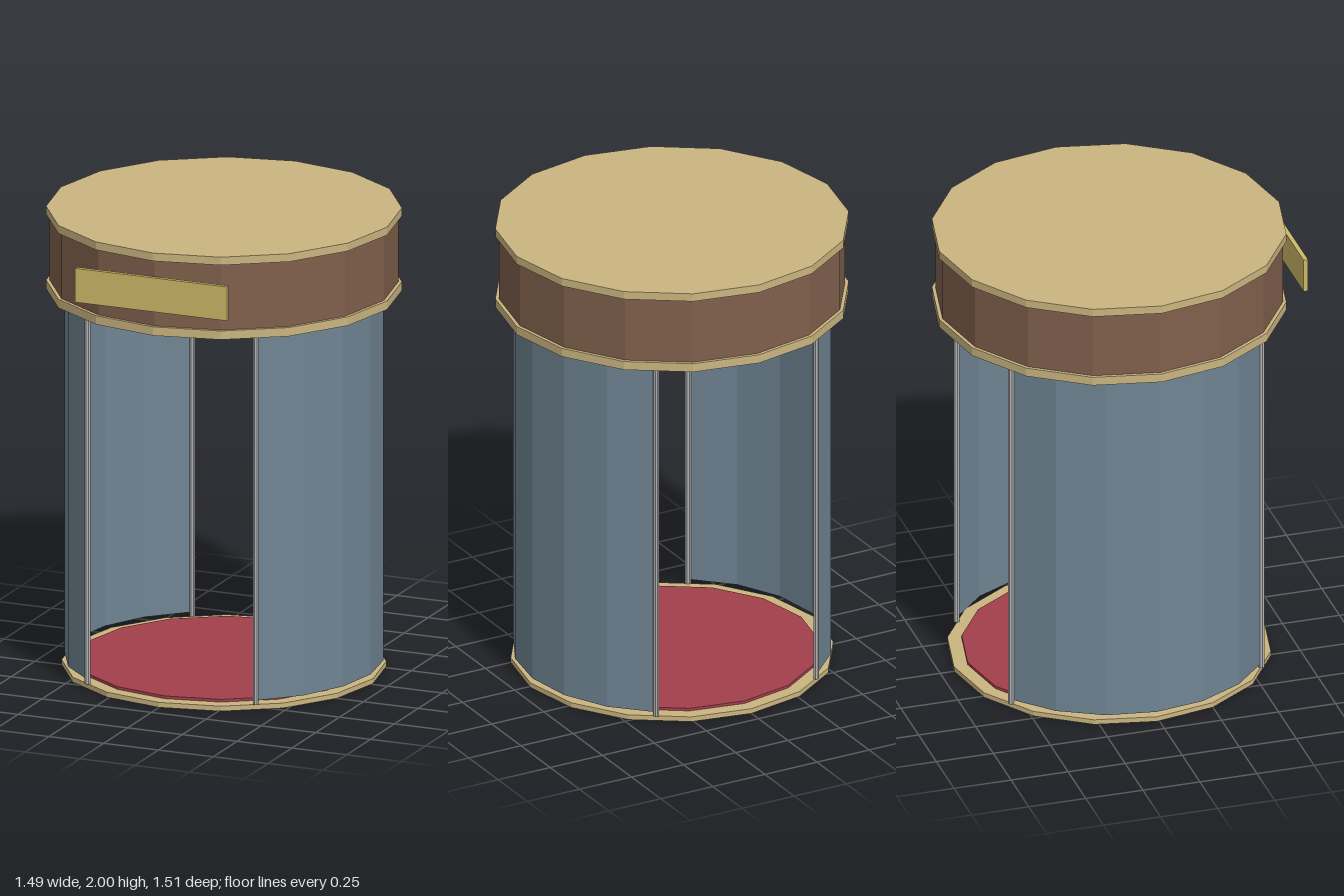
import * as THREE from 'three';

const flat = (name, color, extra = {}) => {
  const m = new THREE.MeshStandardMaterial({ color, flatShading: true, ...extra });
  m.name = name;
  return m;
};

export function createModel() {
  const brass = flat('brass trim', 0xcbb580);
  const gold = flat('gold sign', 0xcdb969);
  const wood = flat('brown wood', 0x80604c);
  const glass = flat('blue grey wall', 0x6f8593, { side: THREE.DoubleSide });
  const carpet = flat('red carpet', 0xa23f4c);
  const steel = flat('steel', 0xb2b2b4);

  const group = new THREE.Group();
  group.name = 'revolvingEntrance';
  const drum = new THREE.Group();
  drum.name = 'drum';
  drum.position.z = -0.01;
  group.add(drum);

  const add = (parent, name, geometry, material, x, y, z) => {
    const mesh = new THREE.Mesh(geometry, material);
    mesh.name = name;
    mesh.position.set(x, y, z);
    parent.add(mesh);
  };

  // Stacked discs: base, carpet, canopy and its two trim rings
  const disc = (name, radius, y0, y1, material) =>
    add(drum, name, new THREE.CylinderGeometry(radius, radius, y1 - y0, 16), material, 0, (y0 + y1) / 2, 0);
  disc('basePlate', 0.68, 0, 0.022, brass);
  disc('carpetFloor', 0.62, 0.015, 0.034, carpet);
  disc('canopyBottomTrim', 0.745, 1.64, 1.678, brass);
  disc('canopyBand', 0.73, 1.67, 1.975, wood);
  disc('canopyTopTrim', 0.745, 1.965, 2, brass);

  // Curved side walls, leaving a doorway at front and back, with a post on each edge
  const R = 0.67, half = THREE.MathUtils.degToRad(55);
  for (const side of [1, -1]) {
    const label = side > 0 ? 'left' : 'right';
    const wall = new THREE.CylinderGeometry(R, R, 1.6, 6, 1, true, side * Math.PI / 2 - half, 2 * half);
    add(drum, label + 'Wall', wall, glass, 0, 0.84, 0);
    for (const end of [1, -1]) {
      add(drum, label + (end > 0 ? 'FrontPost' : 'BackPost'),
        new THREE.CylinderGeometry(0.013, 0.013, 1.607, 8), steel,
        side * R * Math.cos(half), 0.8265, end * R * Math.sin(half));
    }
  }

  // Blank sign board over the front doorway
  add(group, 'signBoard', new THREE.BoxGeometry(0.692, 0.148, 0.02), gold, 0, 1.824, 0.745);
  return group;
}
